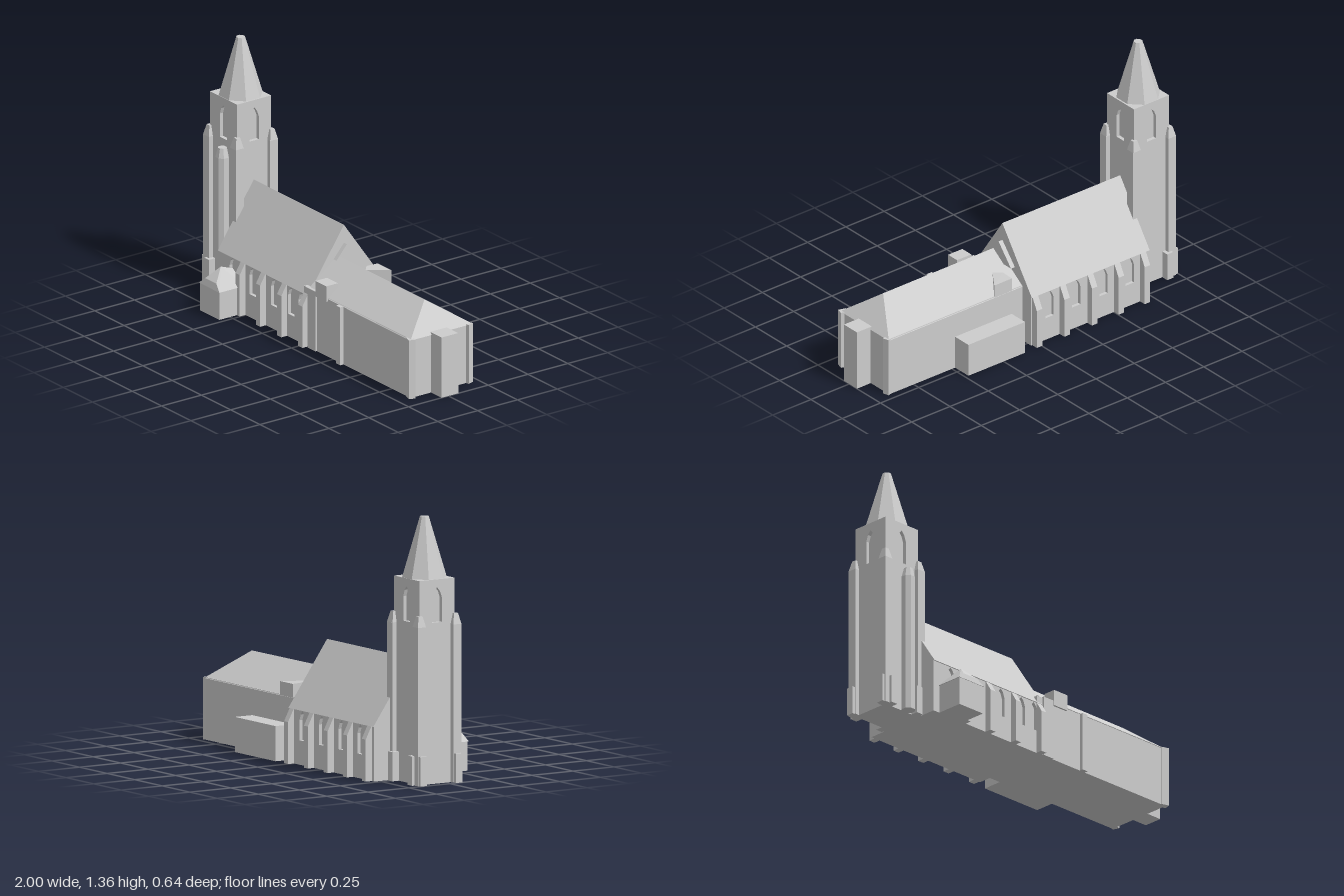
import * as THREE from 'three';
import { ConvexGeometry } from 'three/addons/geometries/ConvexGeometry.js';

export function createModel() {
  const church = new THREE.Group();
  church.name = 'church';
  const stone = new THREE.MeshStandardMaterial({ color: 0xcccccc, flatShading: true });
  stone.name = 'pale grey stone';

  const add = (name, geometry) => {
    const mesh = new THREE.Mesh(geometry, stone);
    mesh.name = name;
    church.add(mesh);
    return mesh;
  };
  // Box given by its limits on each axis
  const box = (name, x0, x1, y0, y1, z0, z1) =>
    add(name, new THREE.BoxGeometry(x1 - x0, y1 - y0, z1 - z0))
      .position.set((x0 + x1) / 2, (y0 + y1) / 2, (z0 + z1) / 2);
  // Solid hull around a few corners
  const hull = (name, points) =>
    add(name, new ConvexGeometry(points.map(p => new THREE.Vector3(...p))));
  // Profile of [z, y] points run along x
  const alongX = (name, profile, x0, x1) => {
    const shape = new THREE.Shape(profile.map(([z, y]) => new THREE.Vector2(-z, y)));
    const g = new THREE.ExtrudeGeometry(shape, { depth: x1 - x0, bevelEnabled: false });
    add(name, g.rotateY(Math.PI / 2).translate(x0, 0, 0));
  };
  // Wall pierced by pointed windows; outer face at local z = 0
  const wall = (name, w, y0, y1, thick, windows) => {
    const shape = new THREE.Shape([[-w / 2, y0], [w / 2, y0], [w / 2, y1], [-w / 2, y1]]
      .map(p => new THREE.Vector2(...p)));
    for (const [x, bottom, top, width] of windows) {
      const h = width / 2, spring = top - width * 0.9;
      const hole = new THREE.Path();
      hole.moveTo(x - h, bottom).lineTo(x - h, spring).lineTo(x - h * 0.6, top - width * 0.35)
        .lineTo(x, top).lineTo(x + h * 0.6, top - width * 0.35).lineTo(x + h, spring)
        .lineTo(x + h, bottom).closePath();
      shape.holes.push(hole);
    }
    const g = new THREE.ExtrudeGeometry(shape, { depth: thick, bevelEnabled: false });
    return add(name, g.translate(0, 0, -thick));
  };

  // Tower: plain shaft, then a belfry with a window on each side
  const tx = -0.845, tz = -0.052, hw = 0.115, hd = 0.108;
  box('towerShaft', tx - hw, tx + hw, 0, 0.8, tz - hd, tz + hd);
  box('belfryCore', tx - hw + 0.02, tx + hw - 0.02, 0.8, 1.04, tz - hd + 0.02, tz + hd - 0.02);
  for (let i = 0; i < 4; i++) {
    const side = i % 2, reach = side ? hw : hd, a = i * Math.PI / 2;
    const w = wall('belfryWall', side ? hd * 2 : hw * 2, 0.8, 1.045, 0.02, [[0, 0.825, 1.005, 0.06]]);
    w.rotation.y = a;
    w.position.set(tx + Math.sin(a) * reach, 0, tz + Math.cos(a) * reach);
  }
  box('belfryTop', tx - hw + 0.01, tx + hw - 0.01, 1.03, 1.045, tz - hd + 0.01, tz + hd - 0.01);
  const spire = add('spire', new THREE.CylinderGeometry(0.023, 0.115, 0.31, 8));
  spire.position.set(tx, 1.2, tz);
  spire.rotation.y = Math.PI / 8;

  // Tower corner piers and their low buttresses
  for (const sx of [-1, 1]) for (const sz of [-1, 1]) {
    const x = tx + sx * hw, z = tz + sz * hd;
    box('cornerPier', x - 0.025, x + 0.025, 0, 0.81, z - 0.025, z + 0.025);
    const cap = add('pierCap', new THREE.CylinderGeometry(0.017, 0.0353, 0.055, 4));
    cap.position.set(x, 0.8375, z);
    cap.rotation.y = Math.PI / 4;
    const bx = tx + sx * 0.133, bz = tz + sz * 0.126;
    box('lowButtress', bx - 0.022, bx + 0.022, 0, 0.15, z - 0.02, z + 0.02);
    box('lowButtress', x - sx * 0.025 - 0.02, x - sx * 0.025 + 0.02, 0, 0.15, bz - 0.022, bz + 0.022);
  }

  // Stair turret on the front of the tower
  const turret = add('stairTurret', new THREE.CylinderGeometry(0.036, 0.036, 0.74, 8));
  turret.position.set(-0.822, 0.37, 0.08);
  turret.rotation.y = Math.PI / 8;
  const turretCap = add('turretCap', new THREE.CylinderGeometry(0.023, 0.036, 0.05, 8));
  turretCap.position.set(-0.822, 0.765, 0.08);
  turretCap.rotation.y = Math.PI / 8;

  // Nave: inner core, pierced side walls and steep roof
  const n0 = -0.73, n1 = 0.04, nm = (n0 + n1) / 2, front = 0.17, back = -0.28;
  box('naveCore', n0, n1, 0, 0.285, back + 0.018, front - 0.018);
  const windowsAt = list => list.map(x => [x, 0.125, 0.278, 0.055]);
  wall('naveFrontWall', n1 - n0, 0, 0.285, 0.018,
    windowsAt([-0.61, -0.44, -0.255, -0.11, -0.022].map(x => x - nm))).position.set(nm, 0, front);
  const rear = wall('naveBackWall', n1 - n0, 0, 0.285, 0.018,
    windowsAt([-0.605, -0.433, -0.255, -0.08].map(x => nm - x)));
  rear.position.set(nm, 0, back);
  rear.rotation.y = Math.PI;
  alongX('naveRoof', [[front + 0.006, 0.28], [-0.05, 0.613], [back - 0.006, 0.28]], n0, n1);
  alongX('naveEndGable', [[0.05, 0.4], [-0.05, 0.515], [-0.15, 0.4]], n1, 0.065);

  // Nave buttresses with sloping tops
  for (const x of [-0.69, -0.52, -0.345, -0.165, 0.015]) {
    alongX('backButtress', [[back, 0], [back - 0.037, 0], [back - 0.037, 0.215], [back, 0.285]], x - 0.018, x + 0.018);
    if (x > -0.6)
      alongX('frontButtress', [[front, 0], [front + 0.036, 0], [front + 0.036, 0.225], [front, 0.285]], x - 0.018, x + 0.018);
  }

  // Porch with a four-sided roof
  box('porch', -0.69, -0.525, 0, 0.155, 0.16, 0.317);
  hull('porchRoof', [[-0.695, 0.15, 0.16], [-0.52, 0.15, 0.16], [-0.695, 0.15, 0.32], [-0.52, 0.15, 0.32],
    [-0.655, 0.185, 0.31], [-0.56, 0.185, 0.31], [-0.61, 0.247, 0.245], [-0.61, 0.22, 0.17]]);

  // Choir with a roof hipped at the far end
  box('choirWalls', 0, 0.91, 0, 0.32, -0.21, 0.172);
  hull('choirRoof', [[0.04, 0.315, -0.213], [0.04, 0.315, 0.176], [0.915, 0.315, -0.213], [0.915, 0.315, 0.176],
    [0.04, 0.458, -0.008], [0.785, 0.455, -0.008]]);

  // End projection and choir buttresses
  box('endProjection', 0.9, 1, 0, 0.328, -0.062, 0.042);
  for (const z of [-0.192, 0.165]) {
    const b = add('choirCornerButtress', new THREE.BoxGeometry(0.042, 0.32, 0.036));
    b.position.set(0.903, 0.16, z);
    b.rotation.y = z > 0 ? -0.3 : 0.3;
  }
  box('choirButtress', 0.303, 0.338, 0, 0.315, 0.16, 0.193);
  box('choirWestPier', 0.04, 0.11, 0, 0.325, 0.16, 0.18);

  // Roof dormers and the low annex behind
  box('frontDormer', 0.112, 0.205, 0.3, 0.385, 0.11, 0.182);
  hull('backDormer', [[0.11, 0.3, -0.212], [0.225, 0.3, -0.212], [0.11, 0.387, -0.212], [0.225, 0.387, -0.212],
    [0.11, 0.39, -0.14], [0.15, 0.39, -0.105], [0.15, 0.32, -0.11]]);
  box('annex', 0.11, 0.48, 0, 0.18, -0.317, -0.2);

  return church;
}
